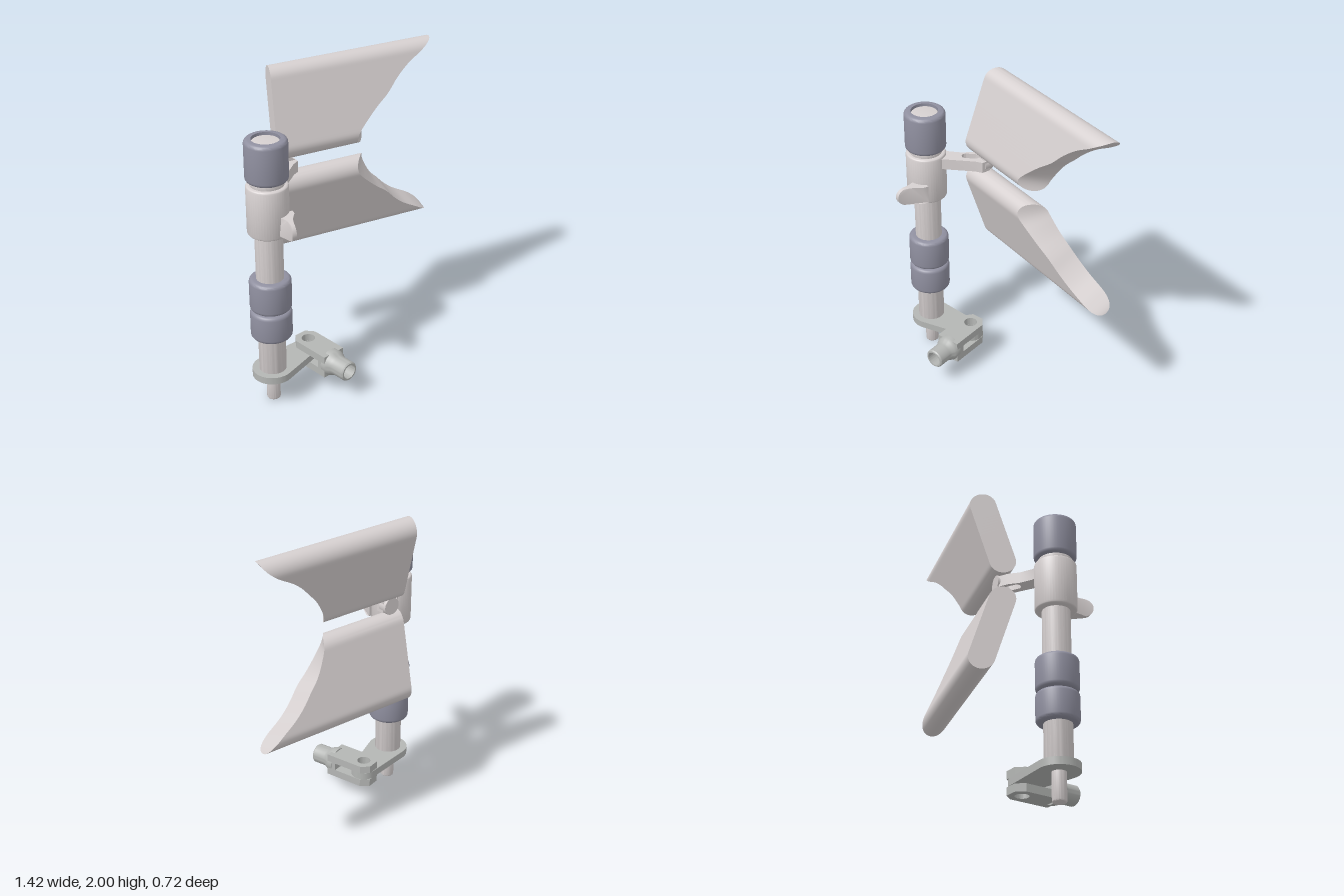
import * as THREE from 'three';
import { mergeGeometries, toCreasedNormals } from 'three/addons/utils/BufferGeometryUtils.js';

const V2 = (x, y) => new THREE.Vector2(x, y);
const CX = -0.585, CZ = 0.09; // column axis

export function createModel() {
  const model = new THREE.Group();
  const mat = (color) => new THREE.MeshStandardMaterial({ color, side: THREE.DoubleSide });
  const light = mat(0xd6d0d0), dark = mat(0x9090a0), steel = mat(0xb4b6b4);

  const add = (name, geo, material, parent = model) => {
    const mesh = new THREE.Mesh(geo, material);
    mesh.name = name;
    parent.add(mesh);
    return mesh;
  };
  const lathe = (pts) => toCreasedNormals(new THREE.LatheGeometry(pts.map((p) => V2(...p)), 48), 0.6);
  // Solid ring or rod with rounded outer edges; ri = 0 gives a rod
  const turned = (ri, ro, y0, y1, c) => {
    const pts = [[ri, y0]];
    for (let i = 0; i <= 4; i++) {
      const a = (i / 4) * Math.PI / 2;
      pts.push([ro - c + c * Math.sin(a), y0 + c - c * Math.cos(a)]);
    }
    for (let i = 0; i <= 4; i++) {
      const a = (i / 4) * Math.PI / 2;
      pts.push([ro - c + c * Math.cos(a), y1 - c + c * Math.sin(a)]);
    }
    pts.push([ri, y1]);
    if (ri > 0) pts.push([ri, y0]);
    return lathe(pts);
  };
  // Flat plate: outline drawn in (x, -z), raised from y0 to y1
  const plate = (shape, y0, y1) => {
    const g = new THREE.ExtrudeGeometry(shape, { depth: y1 - y0, bevelEnabled: false, curveSegments: 24 });
    return toCreasedNormals(g.rotateX(-Math.PI / 2).translate(0, y0, 0), 0.5);
  };
  const hole = (x, y, r) => new THREE.Path().absarc(x, y, r, 0, Math.PI * 2, true);

  // Column: every turned part shares one axis
  const column = new THREE.Group();
  column.name = 'column';
  column.position.set(CX, 0, CZ);
  model.add(column);
  add('bottomPin', turned(0, 0.042, 0, 0.2, 0.01), light, column);
  add('shaft', turned(0, 0.083, 0.2, 1.73, 0.008), light, column);
  add('hub', turned(0, 0.124, 1.155, 1.465, 0.015), light, column);
  add('hubNeck', turned(0, 0.1, 1.45, 1.5, 0.005), light, column);
  [[0.455, 0.642], [0.648, 0.855], [1.49, 1.745]].forEach(([a, b]) =>
    add('collar', turned(0.083, 0.126, a, b, 0.024), dark, column));

  // Hub arm carrying the vanes, with a slot through it
  const armShape = new THREE.Shape([[-0.6, 0.0], [-0.52, 0.03], [-0.46, 0.085], [-0.42, 0.145], [-0.37, 0.19],
    [-0.28, 0.17], [-0.28, 0.115], [-0.32, 0.09], [-0.47, -0.06]].map((p) => V2(...p)));
  const slot = new THREE.Path();
  slot.absarc(-0.41, 0.085, 0.026, Math.PI * 0.75, Math.PI * 1.75, false);
  slot.absarc(-0.37, 0.125, 0.026, -Math.PI * 0.25, Math.PI * 0.75, false);
  armShape.holes.push(slot);
  add('vaneArm', plate(armShape, 1.378, 1.448), light);
  add('vanePivot', new THREE.CylinderGeometry(0.054, 0.054, 0.055, 32).rotateX(Math.PI / 2)
    .translate(-0.33, 1.415, -0.165), light);

  // Curved thumb lever on the hub: a round-ended plate, thinning away from the hub
  const tabR = 0.057, tabZ = 0.282, tabY = 1.237;
  const tab = [];
  for (let z = 0.16; z < tabZ - 0.01; z += 0.02) tab.push(V2(z, tabY - tabR));
  for (let i = 0; i <= 16; i++) {
    const a = -Math.PI / 2 + (i / 16) * Math.PI;
    tab.push(V2(tabZ + tabR * Math.cos(a), tabY + tabR * Math.sin(a)));
  }
  for (let z = 0.26; z > 0.155; z -= 0.02) tab.push(V2(z, tabY + tabR));
  const lever = new THREE.ExtrudeGeometry(new THREE.Shape(tab), { depth: 1, bevelEnabled: false });
  const lp = lever.attributes.position;
  for (let i = 0; i < lp.count; i++) {
    const z = lp.getX(i);
    const right = Math.min(-0.465, -0.53 + 3.2 * (0.335 - z) ** 2);
    const left = -0.548 - 3 * (z - 0.28) ** 2;
    lp.setXYZ(i, THREE.MathUtils.lerp(right, left, lp.getZ(i)), lp.getY(i), z);
  }
  add('thumbLever', toCreasedNormals(lever, 0.6), light);

  // Crank plate at the foot of the shaft: hull of two circles
  const px = -0.285, pz = -0.012;
  const phi = Math.atan2(CZ - pz, px - CX);
  const beta = Math.acos((0.125 - 0.078) / Math.hypot(px - CX, CZ - pz));
  const crank = new THREE.Shape();
  crank.absarc(px, -pz, 0.078, phi - beta, phi + beta, false);
  crank.absarc(CX, -CZ, 0.125, phi + beta, phi - beta + Math.PI * 2, false);
  crank.holes.push(hole(px, -pz, 0.042));
  add('crankPlate', plate(crank, 0.175, 0.221), steel);

  // Fork gripping the crank plate, with a hollow socket at its end
  const fork = new THREE.Group();
  fork.name = 'fork';
  fork.position.set(px, 0, pz);
  fork.rotation.y = 0.247;
  model.add(fork);
  const w = 0.079;
  const prong = new THREE.Shape([[-w, -0.2], [w, -0.2], [w, 0.025], [0.04, 0.076], [-0.04, 0.076], [-w, 0.025]]
    .map((p) => V2(...p)));
  prong.holes.push(hole(0, 0, 0.042));
  [[0.125, 0.174], [0.222, 0.271]].forEach(([a, b]) => add('forkProng', plate(prong, a, b), steel, fork));
  add('forkBridge', new THREE.BoxGeometry(2 * w, 0.146, 0.06).translate(0, 0.198, 0.2), steel, fork);
  const socket = lathe([[0, 0.2], [0.083, 0.2], [0.083, 0.228], [0.076, 0.248], [0.066, 0.262], [0.062, 0.28],
    [0.062, 0.36], [0.056, 0.368], [0.046, 0.368], [0.046, 0.27], [0, 0.27]]);
  add('forkSocket', socket.rotateX(Math.PI / 2).translate(0, 0.198, 0), steel, fork);

  // Vanes: round-edged slabs with a slanted inner end and a concave, twisted outer end
  const MID = 1.415, H = 0.078, N = 48;
  const tipCurve = new THREE.SplineCurve([0.15, 0.17, 0.22, 0.28, 0.355, 0.42, 0.505, 0.62, 0.705]
    .map((x, i) => V2(i / 8, x)));
  const gridGeo = (rows, flip) => {
    const n = rows[0].length, index = [];
    for (let i = 0; i < rows.length - 1; i++) {
      for (let j = 0; j < n - 1; j++) {
        const a = i * n + j, b = a + 1, c = a + n, d = c + 1;
        index.push(...(flip ? [a, c, b, b, c, d] : [a, b, c, b, d, c]));
      }
    }
    const g = new THREE.BufferGeometry();
    g.setAttribute('position', new THREE.Float32BufferAttribute(rows.flat(2), 3));
    g.setIndex(index);
    return g;
  };
  const vane = (m) => {
    const L = 0.4, ay = 0.382 / L, az = -0.117 / L;
    // One edge point of the section: row position T, side s (+1 front, -1 back), inner or outer end
    const point = (i, side, outer) => {
      const T = (1 - Math.cos((i / N) * Math.PI)) / 2;
      const u = -H + T * (L + 2 * H);
      const over = Math.max(0, -u, u - L);
      const half = side * Math.sqrt(Math.max(0, H * H - over * over));
      const y = 1.54 + u * ay - half * az;
      const z = -0.17 + u * az + half * ay;
      const twist = -0.065 * Math.max(0, 1 - T / 0.45) * (half / H);
      const x = outer ? tipCurve.getPoint(T).y + twist : -0.42 + 0.26 * (-0.1 - z);
      return [x, MID + m * (y - MID), z + 0.03 * (x + 0.4)];
    };
    const rows = [...Array(N + 1).keys()];
    const loop = [...rows.map((i) => [i, 1]), ...rows.slice(0, -1).reverse().map((i) => [i, -1])];
    const skin = loop.map(([i, s]) => [point(i, s, false), point(i, s, true)]);
    const cap = (outer) => rows.map((i) => [point(i, 1, outer), point(i, -1, outer)]);
    const parts = [gridGeo(skin, m < 0), gridGeo(cap(false), m > 0), gridGeo(cap(true), m < 0)];
    return toCreasedNormals(mergeGeometries(parts), 0.6);
  };
  add('upperVane', vane(1), light);
  add('lowerVane', vane(-1), light);

  return model;
}
